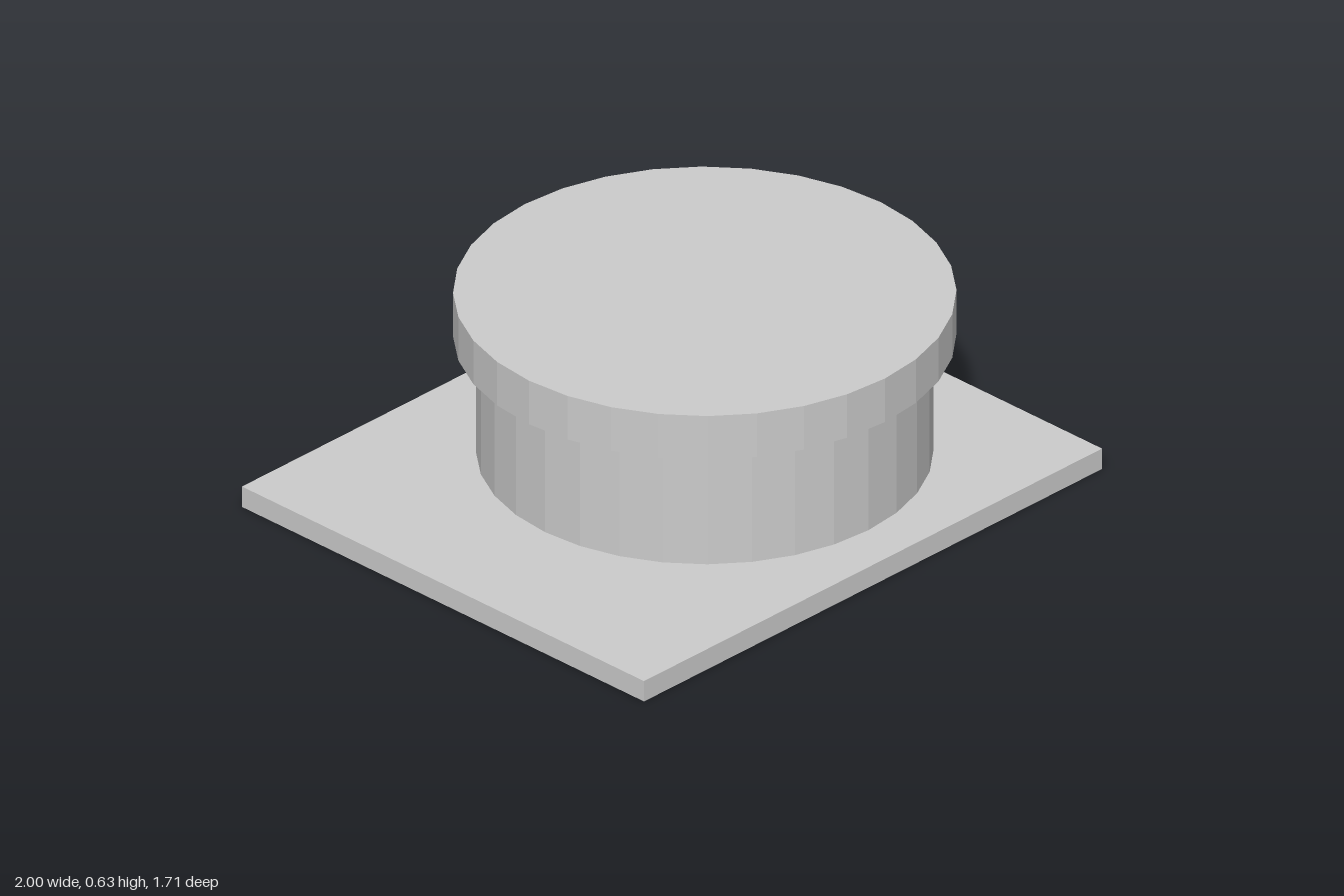
import * as THREE from 'three';

export function createModel() {
  const model = new THREE.Group();
  model.name = 'capOnPlate';
  const material = new THREE.MeshStandardMaterial({ color: 0xcccccc, flatShading: true });

  function add(name, geometry, x, bottom, height) {
    const mesh = new THREE.Mesh(geometry, material);
    mesh.name = name;
    mesh.position.set(x, bottom + height / 2, 0);
    model.add(mesh);
  }

  // Round parts share an axis offset toward +x
  const axisX = 0.143;
  const disc = (name, radius, bottom, top) =>
    add(name, new THREE.CylinderGeometry(radius, radius, top - bottom, 32), axisX, bottom, top - bottom);

  // Flat rectangular base
  const plateTop = 0.0715;
  add('basePlate', new THREE.BoxGeometry(2, plateTop, 1.714), 0, 0, plateTop);

  // Drum and its overhanging lid
  disc('drum', 0.698, plateTop, 0.479);
  disc('lid', 0.768, 0.479, 0.632);

  return model;
}
